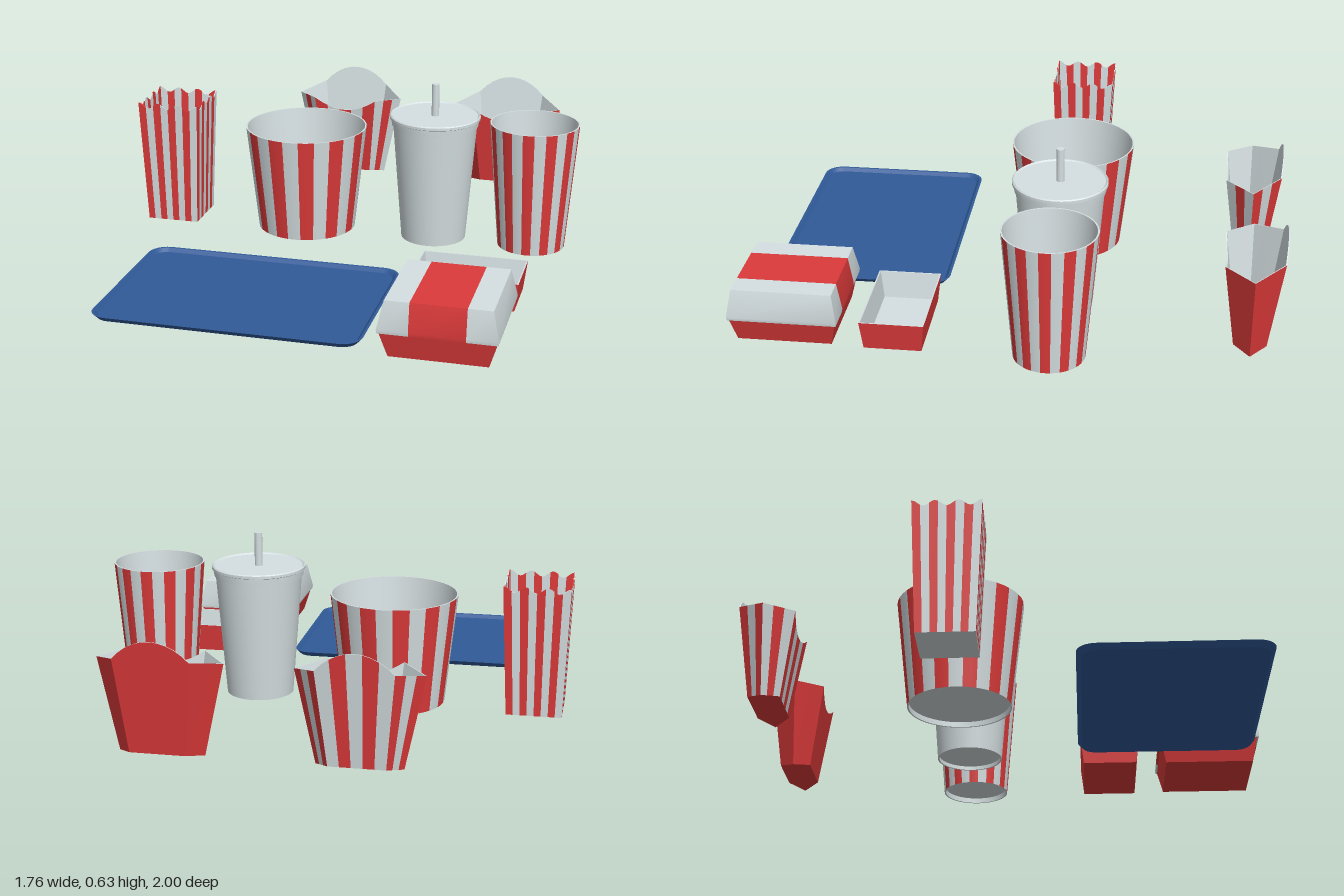
import * as THREE from 'three';
import { mergeGeometries, toCreasedNormals } from 'three/addons/utils/BufferGeometryUtils.js';

const makeMaterial = (name, color) => {
  const m = new THREE.MeshStandardMaterial({ color });
  m.name = name;
  return m;
};

export function createModel() {
  const white = makeMaterial('paper white', 0xd5dfe1);
  const red = makeMaterial('paper red', 0xdd3a3a);
  const blue = makeMaterial('tray blue', 0x305a98);
  const model = new THREE.Group();

  const part = (name, x, z) => {
    const g = new THREE.Group();
    g.name = name;
    g.position.set(x, 0, z);
    model.add(g);
    return g;
  };
  const add = (group, name, geometry, material) => {
    const mesh = new THREE.Mesh(geometry, material);
    mesh.name = name;
    group.add(mesh);
    return mesh;
  };

  // Joins closed rings of [x, y, z] points; rings run from +z towards +x.
  // materialOf(ring, segment) picks the colour of each quad.
  const loft = (group, name, rings, materialOf) => {
    const byMaterial = new Map();
    for (let r = 0; r < rings.length - 1; r++) {
      const lo = rings[r], hi = rings[r + 1], n = lo.length;
      for (let i = 0; i < n; i++) {
        const j = (i + 1) % n, m = materialOf(r, i);
        if (!byMaterial.has(m)) byMaterial.set(m, []);
        byMaterial.get(m).push(...lo[i], ...lo[j], ...hi[j], ...lo[i], ...hi[j], ...hi[i]);
      }
    }
    for (const [m, positions] of byMaterial) {
      const g = new THREE.BufferGeometry();
      g.setAttribute('position', new THREE.Float32BufferAttribute(positions, 3));
      add(group, `${name} ${m.name}`, toCreasedNormals(g, 0.5), m);
    }
  };
  const lathe = (group, name, points, material) => {
    const g = new THREE.LatheGeometry(points.map(p => new THREE.Vector2(...p)), 48);
    add(group, name, toCreasedNormals(g, 0.5), material);
  };

  // Striped round containers: 24 vertical bands, plain inside
  const stripedCup = (name, x, z, rTop, rBottom, h, firstRed) => {
    const g = part(name, x, z), step = Math.PI / 12, rec = 0.02;
    const bands = [[], []];
    for (let i = 0; i < 24; i++) {
      const band = new THREE.CylinderGeometry(rTop, rBottom, h, 2, 1, true, (i - 0.5) * step, step);
      bands[i % 2].push(band.translate(0, h / 2, 0));
    }
    add(g, 'even stripes', mergeGeometries(bands[0]), firstRed ? red : white);
    add(g, 'odd stripes', mergeGeometries(bands[1]), firstRed ? white : red);
    lathe(g, 'recessed base', [[0, rec], [rBottom - 0.006, rec], [rBottom - 0.006, 0], [rBottom, 0]], white);
    lathe(g, 'rim and inside', [[rTop, h], [rTop - 0.006, h], [rBottom - 0.003, rec + 0.006], [0, rec + 0.006]], white);
  };
  stripedCup('bucket', -0.216, -0.167, 0.242, 0.195, 0.42, false);
  stripedCup('small cup', 0.703, -0.167, 0.173, 0.132, 0.5, true);

  // Drink cup with lid and straw
  const drink = part('drink cup', 0.31, -0.165);
  lathe(drink, 'cup body', [[0, 0.015], [0.122, 0.015], [0.122, 0], [0.128, 0], [0.165, 0.47]], white);
  lathe(drink, 'lid', [[0.163, 0.465], [0.17, 0.467], [0.172, 0.49], [0.178, 0.493], [0.178, 0.503],
    [0.174, 0.507], [0.168, 0.502], [0, 0.502]], white);
  add(drink, 'straw', new THREE.CylinderGeometry(0.015, 0.015, 0.15, 16).translate(0, 0.555, 0), white);

  // Popcorn box: eight bands a side and a wavy top edge
  const popcorn = part('popcorn box', -0.76, -0.167);
  const perSide = 24;
  const squareRing = (h, yOf) => {
    const ring = [];
    for (let s = 0; s < 4; s++) {
      for (let i = 0; i < perSide; i++) {
        const u = i / perSide, a = (2 * u - 1) * h;
        const [x, z] = [[a, h], [h, -a], [-a, -h], [-h, a]][s];
        ring.push([x, yOf(u), z]);
      }
    }
    return ring;
  };
  const wave = u => 0.5 - 0.011 * (1 - Math.cos(6 * Math.PI * u));
  const flat = y => () => y;
  loft(popcorn, 'box', [
    squareRing(0, flat(0)), squareRing(0.104, flat(0)), squareRing(0.124, wave),
    squareRing(0.121, wave), squareRing(0.102, flat(0.006)), squareRing(0, flat(0.006)),
  ], (r, i) => (r === 0 || r === 4 ? white : Math.floor(i / 3) % 2 ? white : red));

  // Rectangular cartons; a ring with hz = 0 closes the shape
  const rectRing = (hx, hz, y, s = 0.098) => [
    [-hx, y, hz], [-s, y, hz], [s, y, hz], [hx, y, hz],
    [hx, y, -hz], [s, y, -hz], [-s, y, -hz], [-hx, y, -hz],
  ];
  const burger = part('burger box', 0.557, 0.797);
  loft(burger, 'base', [
    rectRing(0.173, 0, 0), rectRing(0.173, 0.174, 0), rectRing(0.203, 0.196, 0.1), rectRing(0.203, 0, 0.1),
  ], () => red);
  loft(burger, 'lid', [
    rectRing(0.205, 0, 0.092), rectRing(0.205, 0.2, 0.092), rectRing(0.208, 0.202, 0.105),
    rectRing(0.185, 0.184, 0.208), rectRing(0.185, 0, 0.208),
  ], (r, i) => (i % 4 === 1 ? red : white));

  const snack = part('snack tray', 0.559, 0.397);
  loft(snack, 'carton', [
    rectRing(0.182, 0, 0), rectRing(0.182, 0.106, 0), rectRing(0.196, 0.118, 0.11),
    rectRing(0.191, 0.113, 0.11), rectRing(0.176, 0.099, 0.008), rectRing(0.176, 0, 0.008),
  ], r => (r < 2 ? red : white));

  // Serving tray with rounded corners and raised lip
  const tray = part('serving tray', -0.216, 0.615);
  const roundRing = (hx, hz, r, y) => {
    const ring = [];
    [[-1, 1], [1, 1], [1, -1], [-1, -1]].forEach(([sx, sz], c) => {
      for (let i = 0; i <= 6; i++) {
        const a = (c - 1 + i / 6) * Math.PI / 2;
        ring.push([sx * (hx - r) + r * Math.sin(a), y, sz * (hz - r) + r * Math.cos(a)]);
      }
    });
    return ring;
  };
  loft(tray, 'tray', [
    roundRing(0, 0, 0, 0), roundRing(0.478, 0.328, 0.055, 0), roundRing(0.496, 0.346, 0.07, 0.02),
    roundRing(0.486, 0.336, 0.06, 0.02), roundRing(0.474, 0.324, 0.05, 0.007), roundRing(0, 0, 0, 0.007),
  ], () => blue);

  // Fry boxes: six-sided, dipped front edge, high arched back
  const outline = [];
  const flatSide = (sign, firstBand) => {
    for (let i = 0; i < 10; i++) outline.push({ u: sign * (i / 5 - 1), f: sign, band: firstBand + (i >> 1) });
  };
  const slants = (sign, firstBand) => {
    for (let i = 0; i < 6; i++) outline.push({ u: sign, f: sign * (1 - i / 3), band: firstBand + i });
  };
  flatSide(1, 0);
  slants(1, 5);
  flatSide(-1, 11);
  slants(-1, 16);
  const topY = ({ u, f }) => {
    if (f === 1) return 0.3 + 0.05 * u * u;
    if (f === -1) return 0.44 - 0.07 * u * u;
    return 0.34 + Math.abs(f) * (f > 0 ? 0.01 : 0.03);
  };
  const fryRing = (yOf, inset = 0, zScale = 1) => outline.map(p => {
    const y = yOf(p), k = y / 0.35, a = Math.abs(p.f);
    const halfFlat = 0.1 + 0.035 * k, halfX = 0.155 + 0.075 * k - inset, halfZ = 0.058 + 0.047 * k - inset;
    return [p.u * (halfFlat * a + halfX * (1 - a)), y, p.f * halfZ * zScale];
  });
  const fryBox = (name, x, striped) => {
    const bottom = p => 0.016 * Math.abs(p.f), floor = p => bottom(p) + 0.005;
    loft(part(name, x, -0.883), 'carton', [
      fryRing(() => 0, 0, 0), fryRing(bottom), fryRing(topY),
      fryRing(topY, 0.004), fryRing(floor, 0.004), fryRing(() => 0.005, 0.004, 0),
    ], (r, i) => (r > 1 || (striped && r === 1 && outline[i].band % 2) ? white : red));
  };
  fryBox('striped fry box', -0.215, true);
  fryBox('plain fry box', 0.487, false);

  return model;
}
